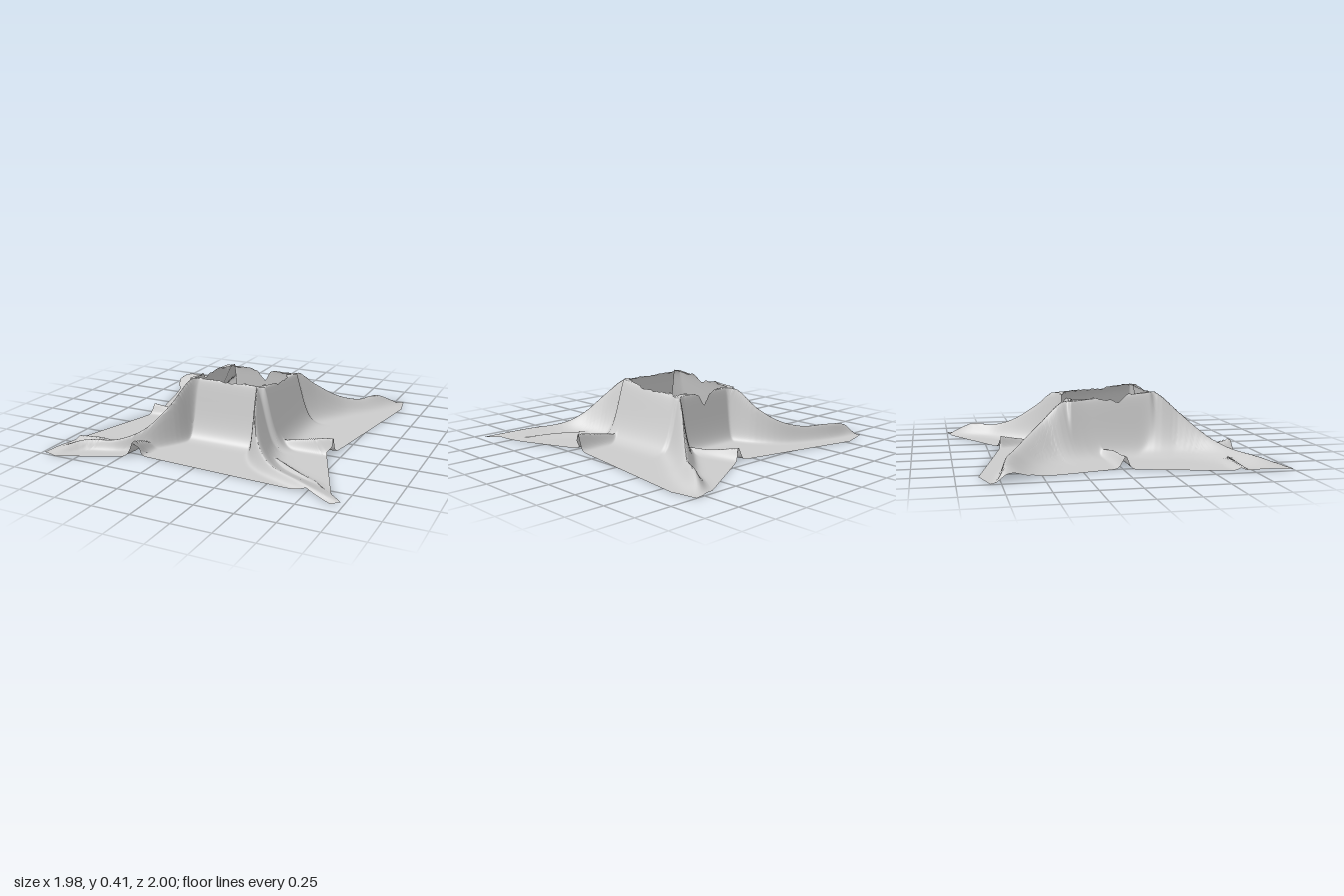
import * as THREE from 'three';

// Hem and torn opening, as [x, z] outlines around the centre
const HEM = [
  [-0.99, -0.81], [-0.79, -0.865], [0.10, -0.66], [0.08, -0.635], [0.13, -0.67], [0.66, -0.97], [0.81, -1.0], [0.84, -0.83],
  [0.69, 0.19], [0.69, 0.235], [0.66, 0.25], [0.90, 0.82], [0.985, 0.9], [0.93, 0.92], [0.75, 0.83],
  [-0.41, 0.765], [-0.44, 0.8], [-0.88, 1.0], [-0.98, 0.99], [-0.93, 0.63], [-0.77, 0.05], [-0.74, 0.0],
  [-0.88, -0.58], [-0.91, -0.59],
];
const OPENING = [
  [-0.24, -0.235], [-0.19, -0.21], [-0.1, -0.235], [0, -0.25], [0.1, -0.23], [0.16, -0.19], [0.2, -0.21], [0.22, -0.2],
  [0.2, -0.15], [0.24, -0.08], [0.245, 0.1], [0.22, 0.22], [0.2, 0.28], [0.15, 0.275], [0, 0.29], [-0.2, 0.275],
  [-0.26, 0.29], [-0.265, 0.22], [-0.3, 0.08], [-0.29, -0.05], [-0.25, -0.16],
];

// Corner ridges, as [x, height, z] from the opening to the hem
const RIDGES = [
  { steep: 0.024, gentle: 0.115, points: [[-0.23, 0.37, -0.22], [-0.265, 0.35, -0.30], [-0.315, 0.24, -0.43], [-0.415, 0.15, -0.55],
    [-0.56, 0.105, -0.635], [-0.75, 0.10, -0.70], [-0.91, 0.075, -0.73], [-0.98, 0.01, -0.76]] },
  { steep: 0.02, gentle: 0.09, points: [[-0.23, 0.41, 0.26], [-0.275, 0.4, 0.335], [-0.335, 0.27, 0.48], [-0.445, 0.13, 0.635],
    [-0.59, 0.07, 0.74], [-0.8, 0.06, 0.825], [-0.93, 0.01, 0.98]] },
  { steep: 0.02, gentle: 0.08, points: [[0.18, 0.41, 0.26], [0.205, 0.39, 0.34], [0.26, 0.27, 0.48], [0.345, 0.14, 0.605],
    [0.455, 0.07, 0.69], [0.7, 0.045, 0.80], [0.98, 0.015, 0.905]] },
  { steep: 0.038, gentle: 0.055, points: [[0.19, 0.37, -0.20], [0.24, 0.36, -0.27], [0.33, 0.25, -0.39], [0.45, 0.14, -0.54],
    [0.56, 0.09, -0.67], [0.65, 0.09, -0.82], [0.76, 0.0, -0.98]] },
];
// Narrow pleats across the flat sides
const PLEATS = [
  [[-0.36, 0.05, -0.06], [-0.45, 0.06, 0.0], [-0.58, 0.06, 0.02], [-0.77, 0.08, 0.02]],
  [[0.32, 0.04, 0.24], [0.45, 0.07, 0.235], [0.70, 0.115, 0.22]],
  [[-0.40, 0.02, 0.60], [-0.415, 0.07, 0.68], [-0.43, 0.11, 0.80]],
  [[0.18, 0.03, -0.30], [0.155, 0.04, -0.45], [0.10, 0.08, -0.655]],
  [[0.42, 0.03, 0.5], [0.6, 0.025, 0.62], [0.8, 0.01, 0.72]],
  [[-0.6, 0.03, 0.70], [-0.75, 0.04, 0.68], [-0.92, 0.03, 0.69]],
].map((points) => ({ steep: 0.02, gentle: 0.028, points }));

// Distance from the centre to an outline along an angle
function reach(outline, a) {
  const c = Math.cos(a), s = Math.sin(a);
  let best = 0;
  outline.forEach(([x1, z1], i) => {
    const [x2, z2] = outline[(i + 1) % outline.length];
    const dx = x2 - x1, dz = z2 - z1, den = c * dz - s * dx;
    if (Math.abs(den) < 1e-9) return;
    const r = (x1 * dz - z1 * dx) / den, u = (x1 * s - z1 * c) / den;
    if (r > 0 && u >= -1e-6 && u <= 1 + 1e-6) best = Math.max(best, r);
  });
  return best;
}

// Height of a fold at (x, z), with its own falloff on either side
function foldHeight({ line, steep, gentle }, x, z) {
  let best = Infinity, y = 0, cross = 0;
  for (let i = 0; i < line.length - 1; i++) {
    const p = line[i], q = line[i + 1];
    const tx = q.x - p.x, tz = q.z - p.z;
    const u = THREE.MathUtils.clamp(((x - p.x) * tx + (z - p.z) * tz) / (tx * tx + tz * tz), 0, 1);
    const dx = x - p.x - u * tx, dz = z - p.z - u * tz, d = dx * dx + dz * dz;
    if (d < best) {
      best = d;
      y = p.y + u * (q.y - p.y);
      cross = tx * dz - tz * dx;
    }
  }
  const end = line[line.length - 1];
  const w = cross * Math.sign(end.x) * Math.sign(end.z) > 0 ? steep : gentle;
  return Math.max(y, 0) * Math.exp(-Math.pow(Math.sqrt(best) / w, 1.6));
}

// Falloff of the four flat walls around the raised opening
function wallFalloff(x, z) {
  const dx = x > 0 ? Math.max(0, x - 0.235) / 0.08 : Math.max(0, -0.285 - x) / 0.06;
  const dz = z > 0 ? Math.max(0, z - 0.285) / 0.05 : Math.max(0, -0.235 - z) / 0.035;
  return Math.exp(-Math.pow(Math.hypot(dx, dz), 1.6));
}

function clothGeometry() {
  const folds = [...RIDGES, ...PLEATS].map((f) => ({
    ...f,
    line: new THREE.CatmullRomCurve3(f.points.map((p) => new THREE.Vector3(...p))).getPoints(28),
  }));

  // Even angles, plus the exact corners of both outlines
  const angles = [...HEM, ...OPENING].map(([x, z]) => Math.atan2(z, x));
  for (let i = 0; i < 600; i++) angles.push(-Math.PI + (i / 600) * Math.PI * 2);
  angles.sort((a, b) => a - b);

  const rings = 100, n = angles.length, pos = [], index = [];
  angles.forEach((a, i) => {
    const c = Math.cos(a), s = Math.sin(a);
    const r0 = reach(OPENING, a), r1 = reach(HEM, a);
    for (let j = 0; j <= rings; j++) {
      const r = r0 + (r1 - r0) * Math.pow(j / rings, 1.4);
      const x = r * c, z = r * s;
      const top = 0.378 + 0.09 * z;
      let sum = Math.pow(top * wallFalloff(x, z), 5);
      for (const f of folds) sum += Math.pow(foldHeight(f, x, z), 5);
      // Frayed rim of the opening
      const fray = j === 0 ? 0.004 * Math.sin(a * 17) + 0.003 * Math.sin(a * 31 + 1) : 0;
      pos.push(x, Math.min(Math.pow(sum, 0.2), top) + fray, z);
      if (j < rings) {
        const p = i * (rings + 1) + j, q = ((i + 1) % n) * (rings + 1) + j;
        index.push(p, q, p + 1, q, q + 1, p + 1);
      }
    }
  });
  const g = new THREE.BufferGeometry();
  g.setAttribute('position', new THREE.Float32BufferAttribute(pos, 3));
  g.setIndex(index);
  g.computeVertexNormals();
  return g;
}

export function createModel() {
  const group = new THREE.Group();
  group.name = 'drapedCloth';
  const cloth = new THREE.Mesh(
    clothGeometry(),
    new THREE.MeshStandardMaterial({ color: 0xcccccc, side: THREE.DoubleSide })
  );
  cloth.name = 'clothSheet';
  group.add(cloth);
  return group;
}
